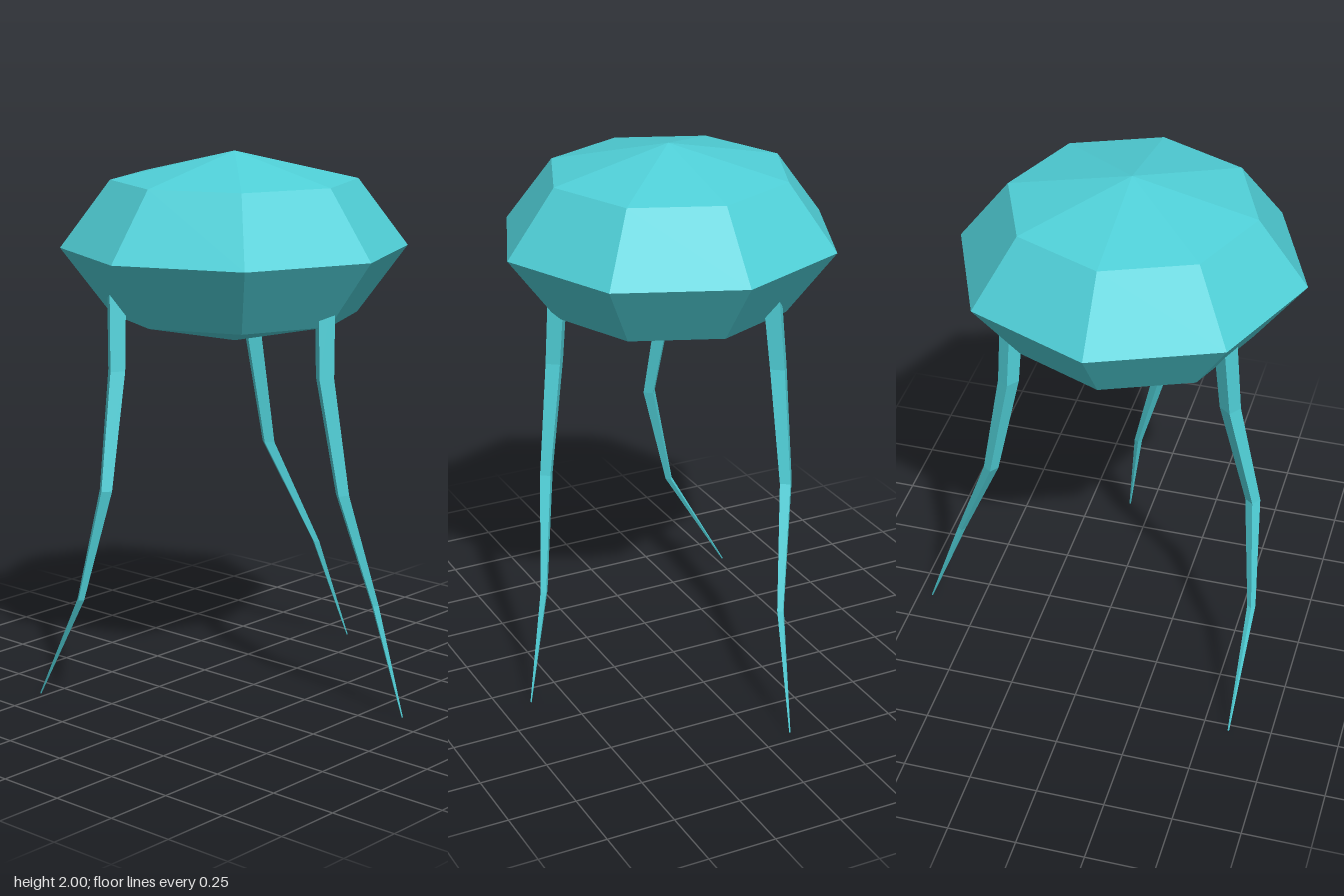
import * as THREE from 'three';

const teal = new THREE.MeshStandardMaterial({ color: 0x50d0d8 });
teal.name = 'teal';

// Give every face its own flat normal
function faceted(geometry) {
  const flat = geometry.index ? geometry.toNonIndexed() : geometry;
  flat.computeVertexNormals();
  return flat;
}

// Tapering four-sided leg through [x, y, z, radius] stations, listed from the tip up
function legGeometry(stations, sides = 4) {
  const positions = [];
  const index = [];
  for (const [x, y, z, r] of stations) {
    for (let i = 0; i < sides; i++) {
      const a = (i / sides) * Math.PI * 2 + 0.15;
      positions.push(x + Math.sin(a) * r, y, z + Math.cos(a) * r);
    }
  }
  for (let s = 0; s < stations.length - 1; s++) {
    for (let i = 0; i < sides; i++) {
      const a = s * sides + i;
      const b = s * sides + (i + 1) % sides;
      index.push(a, b, b + sides, a, b + sides, a + sides);
    }
  }
  // End caps
  const top = (stations.length - 1) * sides;
  for (let i = 1; i < sides - 1; i++) {
    index.push(0, i + 1, i, top, top + i, top + i + 1);
  }
  const geometry = new THREE.BufferGeometry();
  geometry.setAttribute('position', new THREE.Float32BufferAttribute(positions, 3));
  geometry.setIndex(index);
  return faceted(geometry);
}

export function createModel() {
  const group = new THREE.Group();
  group.name = 'jellyWalker';

  // Eight-sided gem-like body
  const profile = [[0, 1.32], [0.44, 1.42], [0.62, 1.66], [0.44, 1.9], [0, 2]]
    .map(([r, y]) => new THREE.Vector2(r, y));
  const body = new THREE.Mesh(faceted(new THREE.LatheGeometry(profile, 8)), teal);
  body.name = 'body';
  body.position.set(-0.02, 0, 0.08);
  group.add(body);

  // Three bent legs, rooted inside the body
  const heights = [0, 0.415, 0.83, 1.245, 1.6];
  const radii = [0.003, 0.015, 0.027, 0.037, 0.042];
  const legs = {
    frontLeg: [[-0.527, 0.595], [-0.287, 0.612], [-0.185, 0.578], [-0.213, 0.488], [-0.235, 0.46]],
    backLeg: [[-0.117, -0.698], [-0.155, -0.545], [-0.26, -0.38], [-0.265, -0.3], [-0.235, -0.285]],
    leftLeg: [[0.632, -0.09], [0.545, -0.035], [0.478, 0.072], [0.422, 0.105], [0.405, 0.088]],
  };
  for (const [name, path] of Object.entries(legs)) {
    const stations = path.map(([x, z], i) => [x, heights[i], z, radii[i]]);
    const leg = new THREE.Mesh(legGeometry(stations), teal);
    leg.name = name;
    group.add(leg);
  }
  return group;
}
